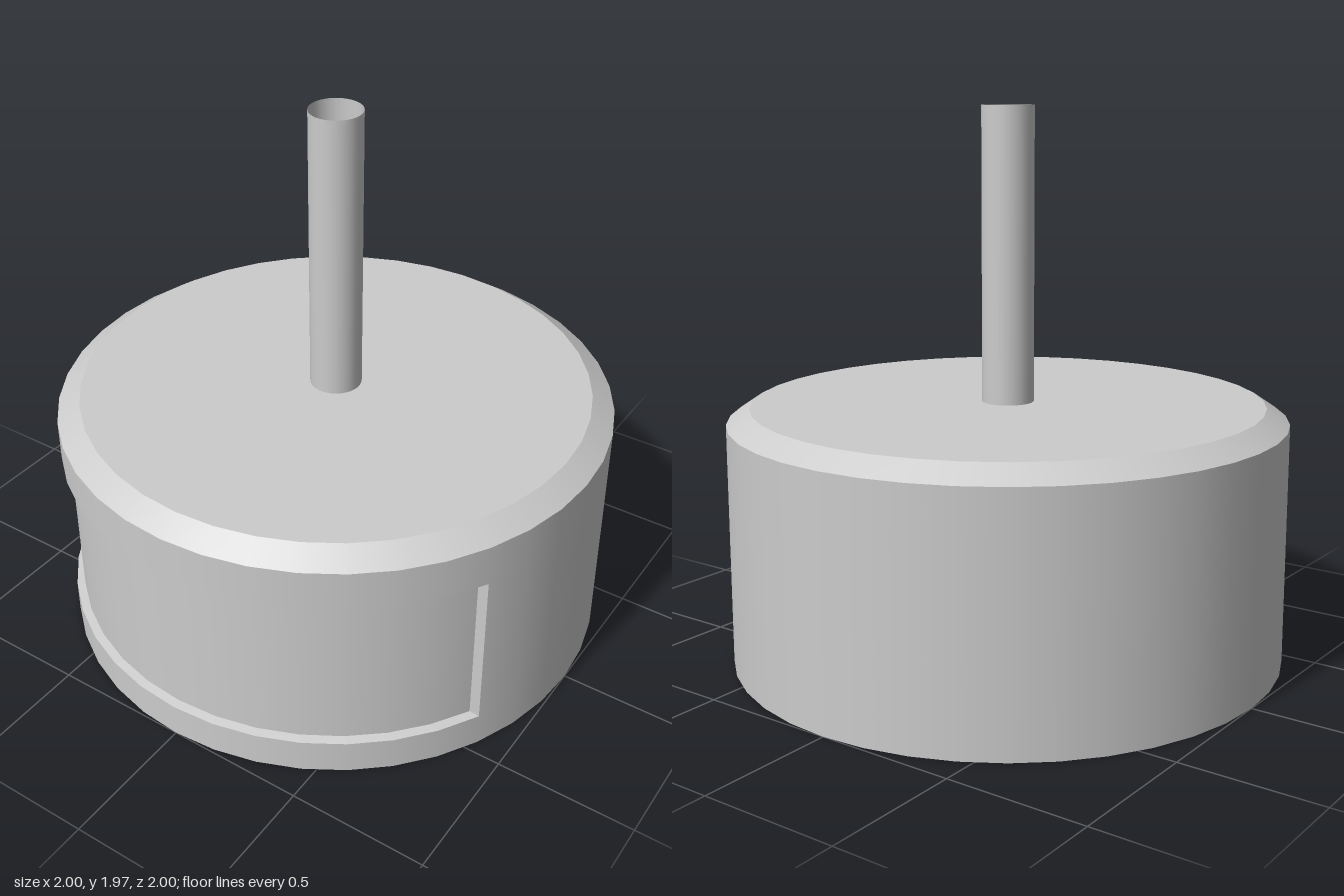
import * as THREE from 'three';

const SIDES = 40;
const STEP = (Math.PI * 2) / SIDES;
const mat = new THREE.MeshStandardMaterial({ color: 0xcccccc, side: THREE.DoubleSide });

function add(parent, name, geometry) {
  const mesh = new THREE.Mesh(geometry, mat);
  mesh.name = name;
  parent.add(mesh);
}

// Open band between two heights; angle 0 faces the front (+z)
function band(y0, y1, rBottom, rTop, sides = SIDES, start = 0, length = Math.PI * 2) {
  return new THREE.CylinderGeometry(rTop, rBottom, y1 - y0, sides, 1, true, start, length)
    .translate(0, (y0 + y1) / 2, 0);
}

// Closed outline of a curved rectangle: bottom edge left to right, top edge back
function outline(radius, halfAngle, y0, y1, n) {
  const points = [];
  for (const [y, dir] of [[y0, 1], [y1, -1]]) {
    for (let i = 0; i <= n; i++) {
      const a = dir * halfAngle * ((2 * i) / n - 1);
      points.push([radius * Math.sin(a), y, radius * Math.cos(a)]);
    }
  }
  return points;
}

// Flat-shaded strip joining two closed outlines
function bridge(outer, inner) {
  const pos = [];
  outer.forEach((o, k) => {
    const j = (k + 1) % outer.length;
    pos.push(...o, ...outer[j], ...inner[j], ...o, ...inner[j], ...inner[k]);
  });
  const g = new THREE.BufferGeometry();
  g.setAttribute('position', new THREE.Float32BufferAttribute(pos, 3));
  g.computeVertexNormals();
  return g;
}

export function createModel() {
  const model = new THREE.Group();
  model.name = 'drumWithStem';

  // Thin drum shell, open underneath, with a window left at the front
  const shell = new THREE.Group();
  shell.name = 'shell';
  model.add(shell);
  const y0 = 0.125, y1 = 0.72, half = 7 * STEP;
  add(shell, 'lowerBand', band(0, y0, 1, 1));
  add(shell, 'middleWall', band(y0, y1, 1, 1, SIDES - 14, half, Math.PI * 2 - 2 * half));
  add(shell, 'upperBand', band(y1, 0.87, 1, 1));
  add(shell, 'bevel', band(0.87, 0.925, 1, 0.918));
  add(shell, 'lid', new THREE.CircleGeometry(0.918, SIDES).rotateX(-Math.PI / 2).translate(0, 0.925, 0));

  // Recessed front panel and the narrow walls around it
  const r = 0.97, innerHalf = THREE.MathUtils.degToRad(61.9), p0 = 0.132, p1 = 0.714;
  add(model, 'recessedPanel', band(p0, p1, r, r, 14, -innerHalf, 2 * innerHalf));
  add(model, 'recessWalls', bridge(outline(1, half, y0, y1, 14), outline(r, innerHalf, p0, p1, 14)));

  // Hollow stem, open at the top
  add(model, 'stem', band(0.925, 1.97, 0.093, 0.093, 32));

  return model;
}
